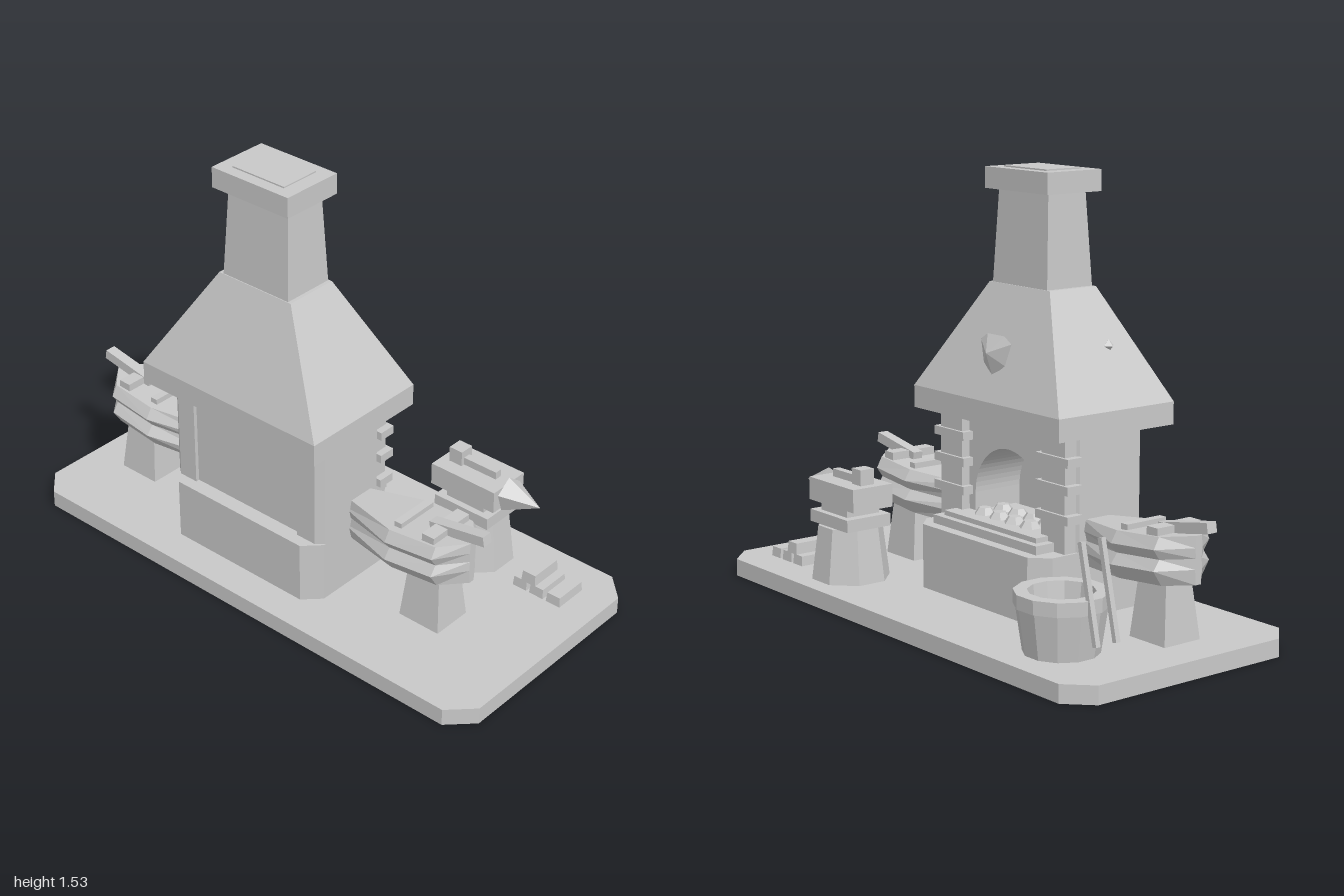
import * as THREE from 'three';
import { ConvexGeometry } from 'three/addons/geometries/ConvexGeometry.js';

const CX = -0.0935; // middle of the forge in x

export function createModel() {
  // double sided because slab, hood and cap are open shells
  const stone = new THREE.MeshStandardMaterial({ color: 0xc8c8c8, side: THREE.DoubleSide });
  stone.name = 'stoneGrey';
  const root = new THREE.Group();
  root.name = 'forge';

  // faceted mesh
  const add = (name, geo, parent = root) => {
    const g = geo.index ? geo.toNonIndexed() : geo;
    g.computeVertexNormals();
    const m = new THREE.Mesh(g, stone);
    m.name = name;
    parent.add(m);
    return m;
  };
  // box from its limits
  const box = (x0, x1, y0, y1, z0, z1) =>
    new THREE.BoxGeometry(x1 - x0, y1 - y0, z1 - z0).translate((x0 + x1) / 2, (y0 + y1) / 2, (z0 + z1) / 2);
  // skin over rings of [x, y, z] points, anticlockwise from above, listed bottom to top
  const loft = (rings, closeBottom, closeTop) => {
    const n = rings[0].length, idx = [], t = (rings.length - 1) * n;
    for (let l = 0; l < rings.length - 1; l++) for (let i = 0; i < n; i++) {
      const a = l * n + i, b = l * n + (i + 1) % n;
      idx.push(a, b, b + n, a, b + n, a + n);
    }
    for (let i = 1; i < n - 1; i++) {
      if (closeBottom) idx.push(0, i + 1, i);
      if (closeTop) idx.push(t, t + i, t + i + 1);
    }
    const g = new THREE.BufferGeometry();
    g.setAttribute('position', new THREE.Float32BufferAttribute(rings.flat(2), 3));
    g.setIndex(idx);
    return g;
  };
  const rect = (y, x0, x1, z0, z1) => [[x0, y, z1], [x1, y, z1], [x1, y, z0], [x0, y, z0]];
  const chamfered = (y, x0, x1, z0, z1, c) => [
    [x0 + c, y, z1], [x1 - c, y, z1], [x1, y, z1 - c], [x1, y, z0 + c],
    [x1 - c, y, z0], [x0 + c, y, z0], [x0, y, z0 + c], [x0, y, z1 - c]];
  // square bar between two points
  const bar = (a, b, w, d) => {
    const va = new THREE.Vector3(...a), vb = new THREE.Vector3(...b), dir = vb.clone().sub(va);
    const g = new THREE.BoxGeometry(w, dir.length(), d);
    g.applyQuaternion(new THREE.Quaternion().setFromUnitVectors(new THREE.Vector3(0, 1, 0), dir.normalize()));
    const c = va.add(vb).multiplyScalar(0.5);
    return g.translate(c.x, c.y, c.z);
  };

  // ground slab (open underneath) and hearth block
  const slab = [-1, 1, -0.468, 0.468, 0.085];
  add('groundSlab', loft([chamfered(0, ...slab), chamfered(0.062, ...slab)], false, true));
  const hearth = [-0.438, 0.25, -0.155, 0.345, 0.058];
  add('hearthBlock', loft([chamfered(0.062, ...hearth), chamfered(0.288, ...hearth)], false, true));

  // firebox: U-shaped walls with chamfered corners and a recessed front panel
  const depth = 0.19;
  const walls = new THREE.Shape([
    [-0.438, 0.018], [-0.438, 0.28], [-0.41, 0.303], [-0.335, 0.303], [-0.335, 0.289], [0.142, 0.289],
    [0.142, 0.303], [0.222, 0.303], [0.25, 0.28], [0.25, 0.018], [0.222, -0.005], [CX + 0.2, -0.005],
    [CX + 0.2, depth], [CX - 0.2, depth], [CX - 0.2, -0.005], [-0.41, -0.005],
  ].map(([x, z]) => new THREE.Vector2(x, -z)));
  add('fireboxWalls', new THREE.ExtrudeGeometry(walls, { depth: 0.4, bevelEnabled: false })
    .rotateX(-Math.PI / 2).translate(0, 0.288, 0));

  // arched vault filling the mouth
  const R = 0.18, spring = 0.4;
  const mouth = new THREE.Shape();
  mouth.moveTo(CX - 0.21, 0.288);
  mouth.lineTo(CX - R, 0.288);
  mouth.lineTo(CX - R, spring);
  mouth.absarc(CX, spring, R, Math.PI, 0, true);
  mouth.lineTo(CX + R, 0.288);
  mouth.lineTo(CX + 0.21, 0.288);
  mouth.lineTo(CX + 0.21, 0.688);
  mouth.lineTo(CX - 0.21, 0.688);
  add('archVault', new THREE.ExtrudeGeometry(mouth, { depth: depth + 0.005, bevelEnabled: false, curveSegments: 16 })
    .translate(0, 0, -0.006));

  // pillars with projecting stone courses
  for (const s of [-1, 1]) {
    const block = (name, a, b, y0, y1, z0, z1) =>
      add(name, box(CX + Math.min(s * a, s * b), CX + Math.max(s * a, s * b), y0, y1, z0, z1));
    block('pillar', 0.215, 0.335, 0.288, 0.69, -0.038, 0.01);
    for (const y of [0.405, 0.505, 0.597]) block('pillarCourse', 0.195, 0.361, y - 0.015, y + 0.015, -0.048, 0.016);
  }

  // fire tray and coals
  add('lowerTray', box(-0.375, 0.185, 0.288, 0.318, -0.115, 0.17));
  add('upperTray', box(-0.345, 0.155, 0.318, 0.335, -0.09, 0.17));
  for (let r = 0; r < 2; r++) for (let i = 0; i < 4; i++)
    add('coal', new THREE.CylinderGeometry(0.022, 0.04, 0.024, 6).rotateY(i + r)
      .translate(CX + (i - 1.5) * 0.082, 0.346, -0.01 + r * 0.08));

  // hood and chimney as one hollow skin, open underneath
  const rim = [-0.485, 0.297, -0.112, 0.387];
  add('hood', loft([rect(0.68, ...rim), rect(0.758, ...rim), rect(1.133, -0.253, 0.066, 0.04, 0.241)], false, true));
  add('chimney', loft([rect(1.133, -0.236, 0.052, 0.043, 0.238), rect(1.455, -0.222, 0.037, 0.058, 0.218)], false, false));
  const cap = [-0.258, 0.072, 0.024, 0.257];
  add('chimneyCap', loft([rect(1.45, ...cap), rect(1.523, ...cap)], false, true));
  add('flueLid', box(-0.205, 0.018, 1.52, 1.528, 0.063, 0.215));
  add('hoodBoss', new ConvexGeometry([
    [-0.175, 0.955, -0.058], [-0.012, 0.955, -0.058], [-0.14, 0.978, -0.06], [-0.05, 0.978, -0.06],
    [-0.15, 0.88, -0.066], [-0.037, 0.88, -0.066], [CX, 0.838, -0.074],
    [CX, 0.92, -0.102]].map(p => new THREE.Vector3(...p))));
  add('hoodRivet', new THREE.OctahedronGeometry(0.022).translate(-0.366, 0.95, 0.2));

  // bellows: pleated rings, rising outward; x measured from the forge middle
  const half = [[0.3, 0.045], [0.56, 0.132], [0.748, 0.12], [0.826, 0.015]];
  const outline = [...half, ...half.map(([x, z]) => [x, -z]).reverse()];
  const levels = [[0.237, 0.72], [0.288, 1], [0.323, 0.8], [0.358, 1], [0.397, 0.82]];
  const pleats = levels.map(([y, k]) => outline.map(([x, z]) => [x, y + 0.073 * (x - 0.345), 0.098 + z * k]));
  for (const s of [1, -1]) {
    const b = new THREE.Group();
    b.name = s > 0 ? 'leftBellows' : 'rightBellows';
    b.position.x = CX;
    b.scale.x = s;
    root.add(b);
    add('bellowsBag', loft(pleats, true, true), b);
    add('bellowsHandle', bar([0.66, 0.428, 0.098], [0.882, 0.468, 0.098], 0.036, 0.04), b);
    add('bellowsCrossBar', box(0.685, 0.735, 0.415, 0.45, 0.005, 0.19), b);
    add('bellowsStrap', box(0.558, 0.588, 0.405, 0.433, 0.01, 0.178), b);
    add('bellowsStand', loft([rect(0.062, 0.588, 0.754, 0.025, 0.178), rect(0.262, 0.605, 0.735, 0.045, 0.155)], false, true), b);
  }

  // quench tub: hollow lathe with water
  const tub = [[0.125, 0.062], [0.148, 0.215], [0.154, 0.215], [0.155, 0.262], [0.11, 0.262], [0.102, 0.2], [0, 0.2]];
  add('quenchTub', new THREE.LatheGeometry(tub.map(p => new THREE.Vector2(...p)), 12).rotateY(Math.PI / 12)
    .translate(-0.67, 0, -0.252));
  for (const z of [-0.262, -0.18])
    add('tongArm', bar([-0.85, 0.12, z], [-0.775, 0.44, z], 0.018, 0.018));

  // anvil on its stump, with hammer
  const az = -0.272;
  add('stump', new THREE.CylinderGeometry(0.115, 0.14, 0.193, 8).rotateY(Math.PI / 8).translate(0.465, 0.1595, az));
  add('anvilFoot', box(0.35, 0.58, 0.256, 0.3, az - 0.092, az + 0.092));
  add('anvilWaist', box(0.385, 0.545, 0.3, 0.335, az - 0.068, az + 0.068));
  add('anvilBody', box(0.325, 0.597, 0.33, 0.412, az - 0.083, az + 0.083));
  add('anvilHorn', new THREE.ConeGeometry(0.064, 0.135, 5).rotateZ(-Math.PI / 2).rotateX(-Math.PI / 2).translate(0.664, 0.37, az));
  add('hammerHead', box(0.358, 0.412, 0.412, 0.468, az - 0.028, az + 0.028));
  add('hammerHandle', box(0.41, 0.55, 0.412, 0.44, az - 0.014, az + 0.014));

  // ingots, the lower ones slightly sunk through the slab top
  for (const [x, y] of [[0.711, 0.057], [0.781, 0.057], [0.852, 0.057], [0.746, 0.098]])
    add('ingot', loft([rect(y, x - 0.029, x + 0.029, az - 0.066, az + 0.066),
      rect(y + 0.04, x - 0.026, x + 0.026, az - 0.062, az + 0.062)], true, true));

  return root;
}
